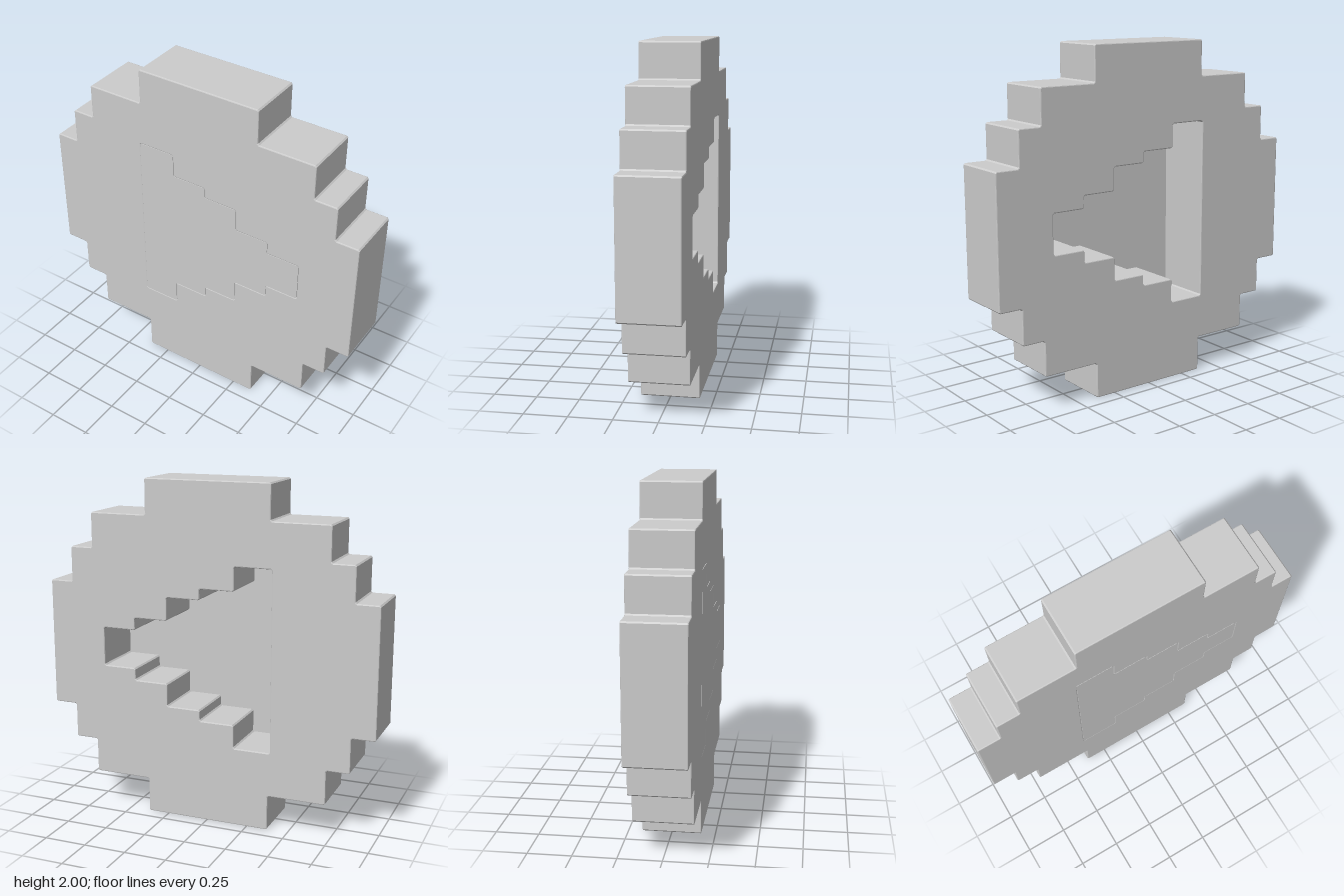
import * as THREE from 'three';

const DEPTH = 0.34;
const BEVEL = 0.006;
const CORNER = 0.008;

// Stepped outline of the disc: [half width, height above centre], top to middle
const DISC_STEPS = [[0.377, 1.0], [0.722, 0.793], [0.86, 0.587], [1.0, 0.379]];

// Stepped triangle columns: [right end x, half height], pointing to +x
const ARROW_LEFT = -0.388;
const ARROW_STEPS = [[-0.165, 0.53], [0.045, 0.39], [0.25, 0.325], [0.455, 0.188], [0.655, 0.115]];

// Lifts an outline to the centre height and trims each corner slightly
function trimCorners(points) {
  const corners = points.map(([x, y]) => new THREE.Vector2(x, 1 + y));
  const toward = (from, to) => to.clone().sub(from).setLength(CORNER).add(from);
  return corners.flatMap((p, i) => [
    toward(p, corners.at(i - 1)),
    toward(p, corners[(i + 1) % corners.length]),
  ]);
}

function discOutline() {
  const quarter = [];
  DISC_STEPS.forEach(([x, y], i) => {
    if (i > 0) quarter.push([DISC_STEPS[i - 1][0], y]);
    quarter.push([x, y]);
  });
  const rightSide = [...quarter, ...quarter.map(([x, y]) => [x, -y]).reverse()];
  const leftSide = rightSide.map(([x, y]) => [-x, y]).reverse();
  return trimCorners([...rightSide, ...leftSide]);
}

function arrowOutline() {
  const upper = [];
  let x = ARROW_LEFT;
  for (const [end, h] of ARROW_STEPS) {
    upper.push([x, h], [end, h]);
    x = end;
  }
  const lower = upper.map(([px, py]) => [px, -py]).reverse();
  return trimCorners([...upper, ...lower]);
}

export function createModel() {
  const group = new THREE.Group();
  group.name = 'steppedButton';
  const material = new THREE.MeshStandardMaterial({ color: 0xcccccc });

  // Disc with softened edges and a stepped triangular opening, wound against the outline
  const discShape = new THREE.Shape(discOutline());
  discShape.holes.push(new THREE.Path(arrowOutline().reverse()));
  const discGeometry = new THREE.ExtrudeGeometry(discShape, {
    depth: DEPTH - 2 * BEVEL,
    bevelThickness: BEVEL,
    bevelSize: BEVEL,
    bevelOffset: -BEVEL,
    bevelSegments: 2,
  });
  discGeometry.translate(0, 0, BEVEL - DEPTH / 2);
  const disc = new THREE.Mesh(discGeometry, material);
  disc.name = 'disc';
  group.add(disc);

  // Thin plate closing the opening flush with the front
  const plateGeometry = new THREE.ExtrudeGeometry(new THREE.Shape(arrowOutline()), {
    depth: BEVEL,
    bevelEnabled: false,
  });
  plateGeometry.translate(0, 0, DEPTH / 2 - BEVEL);
  const plate = new THREE.Mesh(plateGeometry, material);
  plate.name = 'arrowPlate';
  group.add(plate);

  return group;
}
